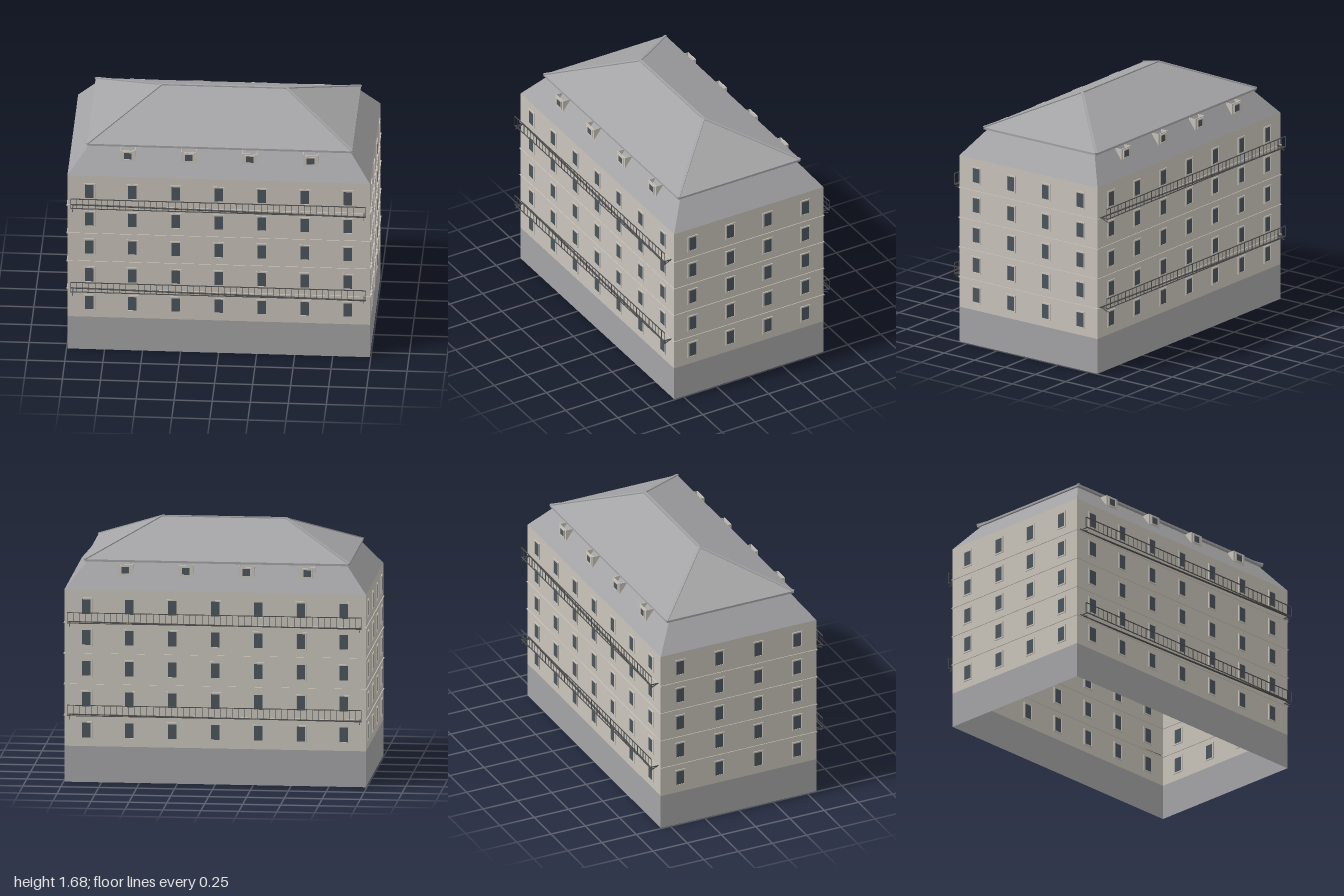
import * as THREE from 'three';
import { mergeGeometries } from 'three/addons/utils/BufferGeometryUtils.js';

const mat = (name, color, side = THREE.FrontSide) => {
  const m = new THREE.MeshStandardMaterial({ color, side });
  m.name = name;
  return m;
};

// Half-sizes of the block
const HX = 0.994, HZ = 0.568;
const FLOORS = [0.348, 0.554, 0.76, 0.966, 1.172];

// Four-sided loft through rings of [half x, y, half z], open at both ends
function loft(rings) {
  const pos = [];
  const corners = ([x, y, z]) => [[-x, y, z], [x, y, z], [x, y, -z], [-x, y, -z]];
  for (let i = 0; i < rings.length - 1; i++) {
    const lo = corners(rings[i]), hi = corners(rings[i + 1]);
    for (let k = 0; k < 4; k++) {
      const n = (k + 1) % 4;
      pos.push(...lo[k], ...lo[n], ...hi[n], ...lo[k], ...hi[n], ...hi[k]);
    }
  }
  const g = new THREE.BufferGeometry();
  g.setAttribute('position', new THREE.Float32BufferAttribute(pos, 3));
  g.computeVertexNormals();
  return g;
}

const box = (w, h, d, x = 0, y = 0, z = 0) => new THREE.BoxGeometry(w, h, d).translate(x, y, z);

// Rectangular bar from a to b
function bar(a, b, w, h) {
  const p = new THREE.Vector3(...a), q = new THREE.Vector3(...b);
  const o = new THREE.Object3D();
  o.position.copy(p).lerp(q, 0.5);
  o.lookAt(q);
  o.updateMatrix();
  return new THREE.BoxGeometry(w, h, p.distanceTo(q)).applyMatrix4(o.matrix);
}

// Rectangular frame facing +z, centred on its plane
const frame = (w, h, t, d) => [
  box(w, t, d, 0, (h - t) / 2), box(w, t, d, 0, (t - h) / 2),
  box(t, h - 2 * t, d, (w - t) / 2), box(t, h - 2 * t, d, (t - w) / 2)
];

export function createModel() {
  const model = new THREE.Group();
  model.name = 'apartmentBlock';
  const plaster = mat('plaster', 0xc9c4bb, THREE.DoubleSide);
  const stone = mat('greyStoneAndRoof', 0xa4a4a6, THREE.DoubleSide);
  const glass = mat('windowGlass', 0x4b555d);
  const iron = mat('ironwork', 0x505050);

  const add = (name, geo, material, parent = model) => {
    const m = new THREE.Mesh(Array.isArray(geo) ? mergeGeometries(geo) : geo, material);
    m.name = name;
    parent.add(m);
    return m;
  };

  // Shell, open underneath
  add('plinth', loft([[HX, 0, HZ], [HX, 0.24, HZ]]), stone);
  add('walls', loft([[HX, 0.24, HZ], [HX, 1.285, HZ]]), plaster);
  add('mansard', loft([[HX, 1.285, HZ], [0.856, 1.455, 0.44]]), stone);

  // Hipped upper roof with eaves board and hip and ridge trims
  const E = [0.872, 1.467, 0.464], R = [0.41, 1.68, 0];
  add('eaves', box(E[0] * 2, 0.014, E[2] * 2, 0, 1.46), stone);
  add('upperRoof', loft([E, R]), stone);
  const trims = [bar([-R[0], R[1], 0], [R[0], R[1], 0], 0.016, 0.01)];
  for (const sx of [-1, 1]) for (const sz of [-1, 1])
    trims.push(bar([sx * E[0], E[1], sz * E[2]], [sx * R[0], R[1], 0], 0.016, 0.01));
  add('roofTrims', trims, stone);

  // String courses between floors
  const courses = [];
  for (let i = 0; i < 4; i++) {
    const y = 0.446 + i * 0.2055;
    for (const s of [-1, 1]) {
      courses.push(box(HX * 2 + 0.01, 0.007, 0.01, 0, y, s * HZ));
      courses.push(box(0.01, 0.007, HZ * 2, s * HX, y, 0));
    }
  }
  add('stringCourses', courses, plaster);

  // Window grid for one facade, standing at distance `dist` and turned by `angle`
  const windows = (name, count, step, dist, angle) => {
    const frames = [], panes = [];
    for (const y of FLOORS) for (let i = 0; i < count; i++) {
      const x = (i - (count - 1) / 2) * step;
      frames.push(...frame(0.076, 0.118, 0.01, 0.012).map(g => g.translate(x, y, dist)));
      panes.push(box(0.056, 0.1, 0.007, x, y, dist));
    }
    const g = new THREE.Group();
    g.name = name;
    g.rotation.y = angle;
    add('windowFrames', frames, plaster, g);
    add('windowPanes', panes, glass, g);
    model.add(g);
  };
  windows('frontWindows', 7, 0.283, HZ, 0);
  windows('backWindows', 7, 0.283, HZ, Math.PI);
  windows('leftWindows', 4, 0.285, HX, Math.PI / 2);
  windows('rightWindows', 4, 0.285, HX, -Math.PI / 2);

  // Balconies and dormers, repeated on the back by a half turn
  for (const [side, angle] of [['front', 0], ['back', Math.PI]]) {
    const half = new THREE.Group();
    half.name = side + 'Details';
    half.rotation.y = angle;
    model.add(half);

    for (const y of [0.452, 1.07]) {
      const L = 0.97, Z = 0.627, parts = [];
      parts.push(box(L * 2, 0.005, 0.005, 0, y + 0.07, Z));
      parts.push(box(L * 2, 0.005, 0.005, 0, y, Z));
      for (let i = 0; i <= 48; i++)
        parts.push(box(0.003, 0.07, 0.003, -L + (i * 2 * L) / 48, y + 0.035, Z));
      // Long slanting tie and end brackets
      parts.push(bar([-L, y, HZ + 0.002], [L, y - 0.005, Z - 0.004], 0.012, 0.006));
      for (const x of [-0.957, 0.957]) {
        parts.push(bar([x, y, HZ], [x, y, Z], 0.005, 0.005));
        parts.push(bar([x, y, HZ], [x, y - 0.024, Z], 0.005, 0.005));
      }
      add('balconyRailing', parts, iron, half);
    }

    const cheeks = [], panes = [];
    for (const x of [-0.6, -0.2, 0.2, 0.6]) {
      // Front panel, side cheeks and window surround
      cheeks.push(box(0.1, 0.078, 0.006, x, 1.408, 0.503));
      for (const s of [-1, 1]) cheeks.push(box(0.004, 0.078, 0.05, x + s * 0.048, 1.408, 0.479));
      cheeks.push(...frame(0.068, 0.064, 0.009, 0.012).map(g => g.translate(x, 1.408, 0.506)));
      panes.push(box(0.05, 0.046, 0.006, x, 1.408, 0.506));
    }
    add('dormers', cheeks, plaster, half);
    add('dormerPanes', panes, glass, half);
  }
  return model;
}
